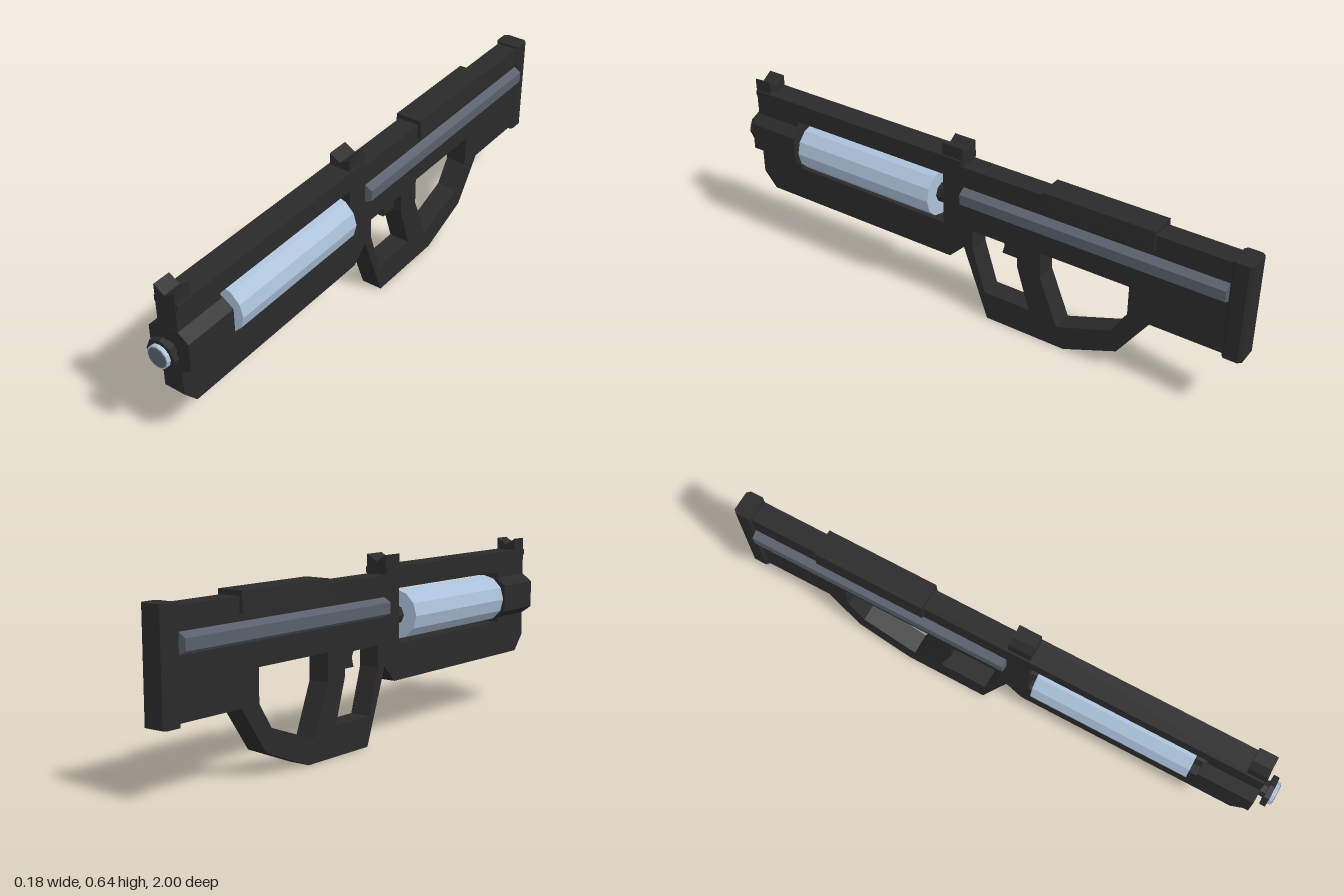
import * as THREE from 'three';

export function createModel() {
  const root = new THREE.Group();
  const mat = (name, hex) => {
    const m = new THREE.MeshStandardMaterial({ color: hex, flatShading: true });
    m.name = name;
    return m;
  };
  const dark = mat('charcoal', 0x2a2a2a);
  const grey = mat('slate grey', 0x59606c);
  const light = mat('pale steel blue', 0xabc1d9);
  const axisY = 0.427;

  const add = (name, geometry, material) => {
    const mesh = new THREE.Mesh(geometry, material);
    mesh.name = name;
    root.add(mesh);
  };
  const vecs = pts => pts.map(p => new THREE.Vector2(p[0], p[1]));
  // Side outline (z, y) given a thickness across x; holes run against the outline
  const sidePlate = (pts, width, holes = []) => {
    const shape = new THREE.Shape(vecs(pts));
    holes.forEach(h => shape.holes.push(new THREE.Path(vecs(h))));
    return new THREE.ExtrudeGeometry(shape, { depth: width, bevelEnabled: false })
      .translate(0, 0, -width / 2).rotateY(-Math.PI / 2);
  };
  // Front outline (x, y) run along z
  const alongZ = (pts, z0, z1) =>
    new THREE.ExtrudeGeometry(new THREE.Shape(vecs(pts)), { depth: z1 - z0, bevelEnabled: false })
      .translate(0, 0, z0);
  // Faceted rod on the barrel axis
  const rod = (r, z0, z1, sides) =>
    new THREE.CylinderGeometry(r, r, z1 - z0, sides)
      .rotateX(Math.PI / 2).translate(0, axisY, (z0 + z1) / 2);

  // Main body with the canister window, trigger guard and thumb hole
  add('body', sidePlate(
    [[0.945, 0.6], [0.945, 0.262], [0.895, 0.204], [0.095, 0.204], [0.036, 0.262],
      [-0.06, 0], [-0.37, 0], [-0.57, 0.08], [-0.68, 0.238], [-0.94, 0.238],
      [-0.94, 0.577], [0.04, 0.577], [0.04, 0.6]],
    0.077,
    [
      [[0.12, 0.332], [0.76, 0.332], [0.76, 0.525], [0.12, 0.525]],
      [[0, 0.34], [-0.18, 0.34], [-0.18, 0.265], [-0.23, 0.105], [-0.05, 0.105], [0, 0.265]],
      [[-0.27, 0.353], [-0.6, 0.353], [-0.6, 0.24], [-0.545, 0.155], [-0.34, 0.08], [-0.27, 0.255]],
    ]), dark);

  // Slim strip along the upper front
  add('topStrip', new THREE.BoxGeometry(0.09, 0.021, 0.9).translate(0, 0.59, 0.492), dark);

  // Trigger
  add('trigger', sidePlate(
    [[-0.098, 0.345], [-0.172, 0.345], [-0.17, 0.28], [-0.106, 0.28], [-0.115, 0.315]],
    0.03), dark);

  // Notched sights
  [['frontSight', 0.88, 0.945], ['rearSight', 0.04, 0.122]].forEach(([name, z0, z1]) =>
    add(name, alongZ(
      [[-0.0385, 0.595], [0.0385, 0.595], [0.0385, 0.644], [0, 0.62], [-0.0385, 0.644]], z0, z1), dark));

  // Eight-sided muzzle block
  add('muzzleBlock', alongZ(
    [[-0.038, 0.35], [0.038, 0.35], [0.077, 0.377], [0.077, 0.476],
      [0.038, 0.504], [-0.038, 0.504], [-0.077, 0.476], [-0.077, 0.377]], 0.75, 0.946), dark);

  // Canister and the rod that carries it
  add('canister', rod(0.088, 0.152, 0.722, 12), light);
  add('canisterRod', rod(0.036, 0.11, 0.77, 8), dark);

  // Muzzle tip
  add('muzzleStem', rod(0.03, 0.94, 0.97, 8), dark);
  add('muzzleFlange', rod(0.055, 0.967, 0.985, 8), dark);
  add('muzzleCap', rod(0.04, 0.985, 0.998, 12), light);
  add('muzzleFace', rod(0.035, 0.99, 1, 12), grey);

  // Side rails
  for (const s of [1, -1]) {
    const pts = [[0.03, 0.43], [0.065, 0.448], [0.065, 0.486], [0.03, 0.507]];
    add(s > 0 ? 'leftRail' : 'rightRail',
      alongZ(pts.map(([x, y]) => [x * s, y]), -0.932, 0.035), grey);
  }

  // Cover over the rear top
  add('topCover', alongZ(
    [[-0.053, 0.525], [0.053, 0.525], [0.048, 0.594], [-0.048, 0.594]], -0.68, -0.273), dark);

  // Butt plate with chamfered corners, outlined in plan
  const plan = [[-0.038, 0.932], [-0.047, 0.941], [-0.047, 0.988], [-0.036, 1],
    [0.036, 1], [0.047, 0.988], [0.047, 0.941], [0.038, 0.932]];
  const butt = new THREE.ExtrudeGeometry(new THREE.Shape(vecs(plan)), { depth: 0.358, bevelEnabled: false })
    .rotateX(-Math.PI / 2).translate(0, 0.228, 0);
  add('buttPlate', butt, dark);

  return root;
}
